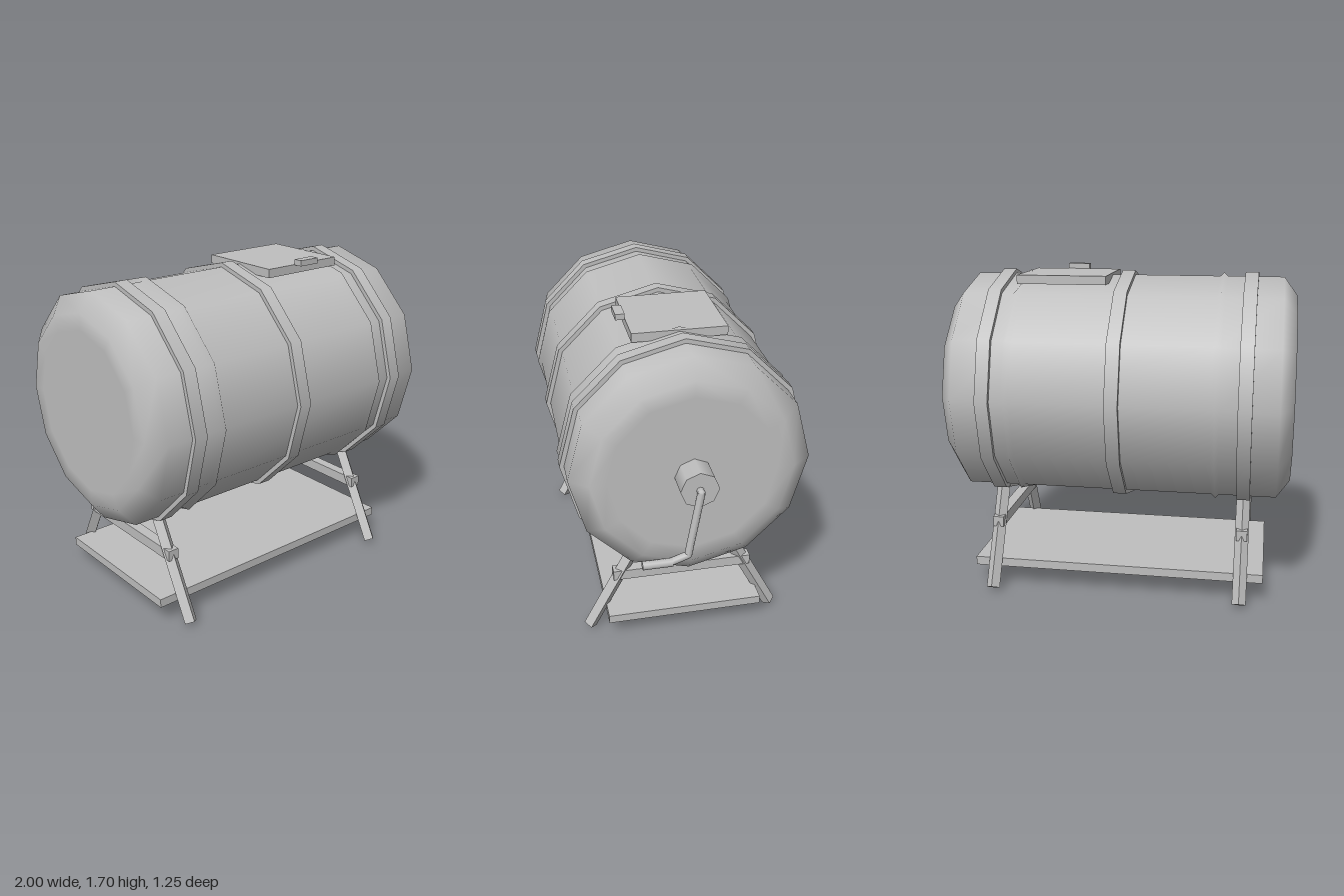
import * as THREE from 'three';

export function createModel() {
  const grey = new THREE.MeshStandardMaterial({ color: 0xbfbfbf });
  grey.name = 'grey';
  const flatGrey = grey;
  const model = new THREE.Group();
  model.name = 'barrelComposter';
  const axisY = 1.065;

  const add = (name, geometry, x = 0, y = 0, z = 0) => {
    const mesh = new THREE.Mesh(geometry, flatGrey);
    mesh.name = name;
    mesh.position.set(x, y, z);
    model.add(mesh);
    return mesh;
  };
  const box = (name, w, h, d, x, y, z) => add(name, new THREE.BoxGeometry(w, h, d), x, y, z);

  // Straight rod between two points; few-sided rods get faceted normals
  const rod = (name, a, b, radius, sides, facet = false) => {
    const from = new THREE.Vector3(...a), to = new THREE.Vector3(...b);
    const dir = to.clone().sub(from);
    let geometry = new THREE.CylinderGeometry(radius, radius, dir.length(), sides);
    if (facet) {
      geometry = geometry.toNonIndexed();
      geometry.computeVertexNormals();
    }
    const mesh = add(name, geometry);
    mesh.position.copy(from).add(to).multiplyScalar(0.5);
    mesh.quaternion.setFromUnitVectors(new THREE.Vector3(0, 1, 0), dir.normalize());
    return mesh;
  };

  // Twelve-sided drum lying along x, with chamfered ends and two raised ridges
  const profile = [[0, -1], [0.42, -1], [0.505, -1], [0.6, -0.93]];
  for (const x of [-0.615, 0.44]) {
    profile.push([0.6, x - 0.02], [0.62, x], [0.6, x + 0.02]);
  }
  profile.push([0.6, 0.73], [0.505, 0.8], [0.42, 0.8], [0, 0.8]);
  const drum = new THREE.LatheGeometry(profile.map(p => new THREE.Vector2(...p)), 12);
  drum.rotateZ(-Math.PI / 2);
  add('drum', drum, 0, axisY, 0);

  // Hoops around the drum
  for (const x of [-0.762, -0.105, 0.557]) {
    const hoop = new THREE.CylinderGeometry(0.623, 0.623, 0.07, 12);
    hoop.rotateZ(-Math.PI / 2);
    add('hoop', hoop, x, axisY, 0);
  }

  // Hatch and its pull tab
  box('hatch', 0.475, 0.046, 0.475, 0.22, 1.652, -0.002);
  box('hatchTab', 0.12, 0.03, 0.048, 0.22, 1.688, 0.26);

  // Crank: hub, bent arm and grip
  const hub = new THREE.CylinderGeometry(0.095, 0.095, 0.14, 8);
  hub.rotateZ(-Math.PI / 2);
  add('crankHub', hub, 0.86, axisY, 0);
  const path = [[0.92, 1.065, 0], [0.952, 1.066, 0], [0.968, 0.73, 0.062], [0.975, 0.705, 0.15]];
  for (let i = 0; i < path.length - 1; i++) {
    rod('crankArm', path[i], path[i + 1], 0.019, 8);
    if (i) add('crankJoint', new THREE.SphereGeometry(0.019, 8, 6), ...path[i]);
  }
  rod('crankGrip', [0.977, 0.705, 0.14], [0.977, 0.705, 0.288], 0.022, 8);

  // Two trestles with splayed diamond-section legs and a crossbar
  for (const x of [-0.762, 0.557]) {
    for (const side of [-1, 1]) {
      rod('leg', [x, 0.018, side * 0.505], [x, 0.57, side * 0.216], 0.036, 4, true);
    }
    box('crossbar', 0.058, 0.056, 0.745, x, 0.346, 0);
  }

  // Lower shelf
  box('shelf', 1.555, 0.046, 0.83, -0.103, 0.129, 0);

  return model;
}
